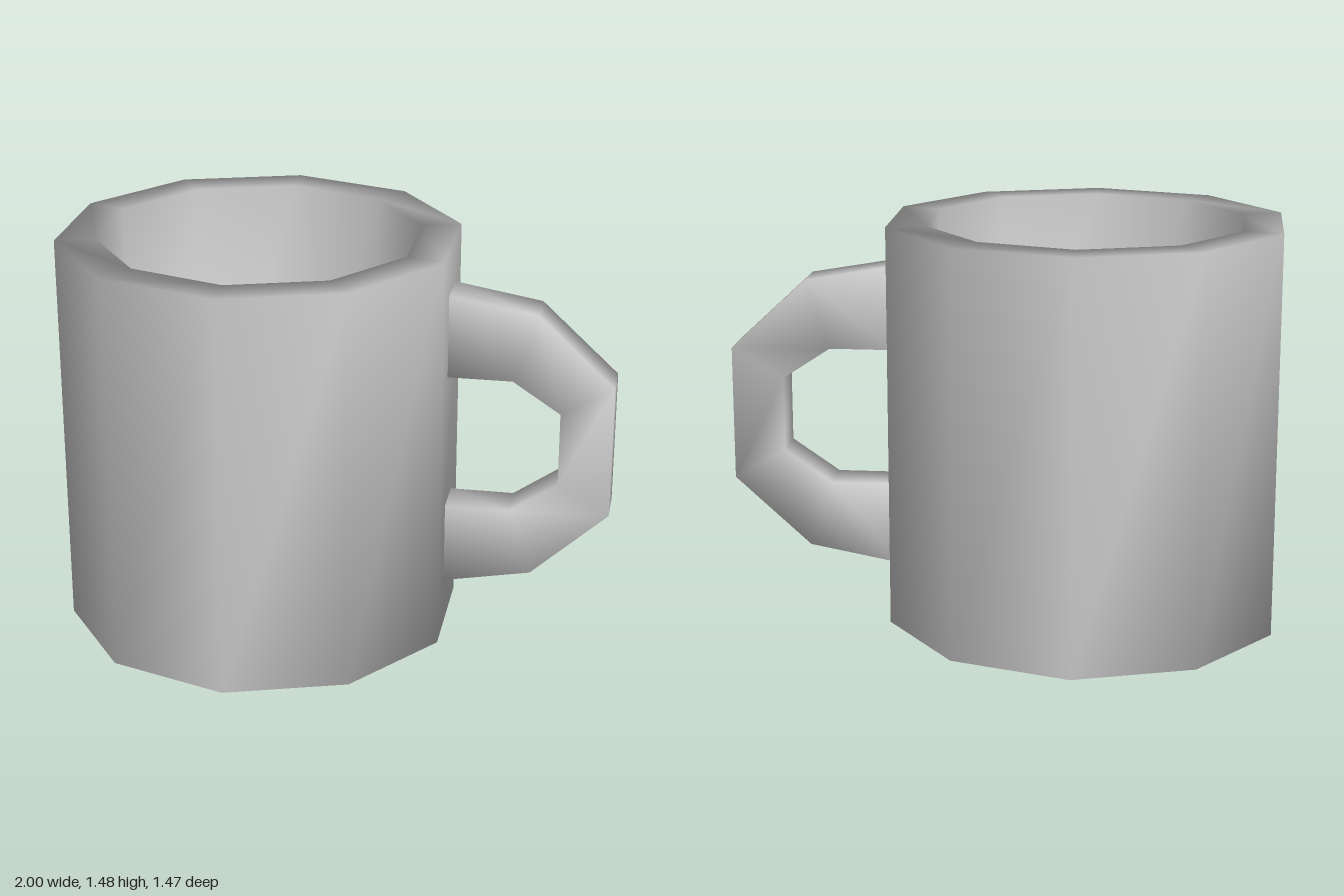
import * as THREE from 'three';

// Skins a list of equal-sized rings with shared vertices, so shading is smooth.
// Optional caps close the first and last ring with a strip of quads.
function loft(rings, capped) {
  const n = rings[0].length;
  const index = [];
  const quad = (a, b, c, d) => index.push(a, b, c, a, c, d);
  for (let r = 0; r < rings.length - 1; r++) {
    for (let i = 0; i < n; i++) {
      const j = (i + 1) % n;
      quad(r * n + i, r * n + j, (r + 1) * n + j, (r + 1) * n + i);
    }
  }
  if (capped) {
    const last = (rings.length - 1) * n;
    for (let i = 0; i < n / 2 - 1; i++) {
      quad(n - 1 - i, n - 2 - i, i + 1, i);
      quad(last + i, last + i + 1, last + n - 2 - i, last + n - 1 - i);
    }
  }
  const geometry = new THREE.BufferGeometry();
  geometry.setAttribute('position', new THREE.Float32BufferAttribute(rings.flat(2), 3));
  geometry.setIndex(index);
  geometry.computeVertexNormals();
  return geometry;
}

export function createModel() {
  const group = new THREE.Group();
  group.name = 'mug';
  const material = new THREE.MeshStandardMaterial({ color: 0xcccccc });
  const add = (name, geometry) => {
    const mesh = new THREE.Mesh(geometry, material);
    mesh.name = name;
    group.add(mesh);
  };

  // Ten-sided cup: outer wall, rim, inner wall and floor as [radius, height]
  const sides = 10;
  const profile = [[0.736, 0], [0.736, 1.48], [0.59, 1.48], [0.59, 0.14]];
  add('cup', loft(profile.map(([radius, y]) =>
    Array.from({ length: sides }, (_, i) => {
      const a = (i / sides) * Math.PI * 2;
      return [-0.3 + radius * Math.sin(a), y, radius * Math.cos(a)];
    })), true));

  // Handle: rectangular sections as [outer x, outer y, inner x, inner y]
  const half = 0.08;
  const sections = [
    [0.4, 1.31, 0.4, 1.0],
    [0.72, 1.255, 0.635, 1.0],
    [1.0, 0.995, 0.81, 0.885],
    [1.0, 0.5, 0.81, 0.61],
    [0.72, 0.245, 0.635, 0.49],
    [0.4, 0.185, 0.4, 0.49],
  ];
  add('handle', loft(sections.map(([ox, oy, ix, iy]) => [
    [ox, oy, -half], [ox, oy, half], [ix, iy, half], [ix, iy, -half],
  ]), false));

  return group;
}
